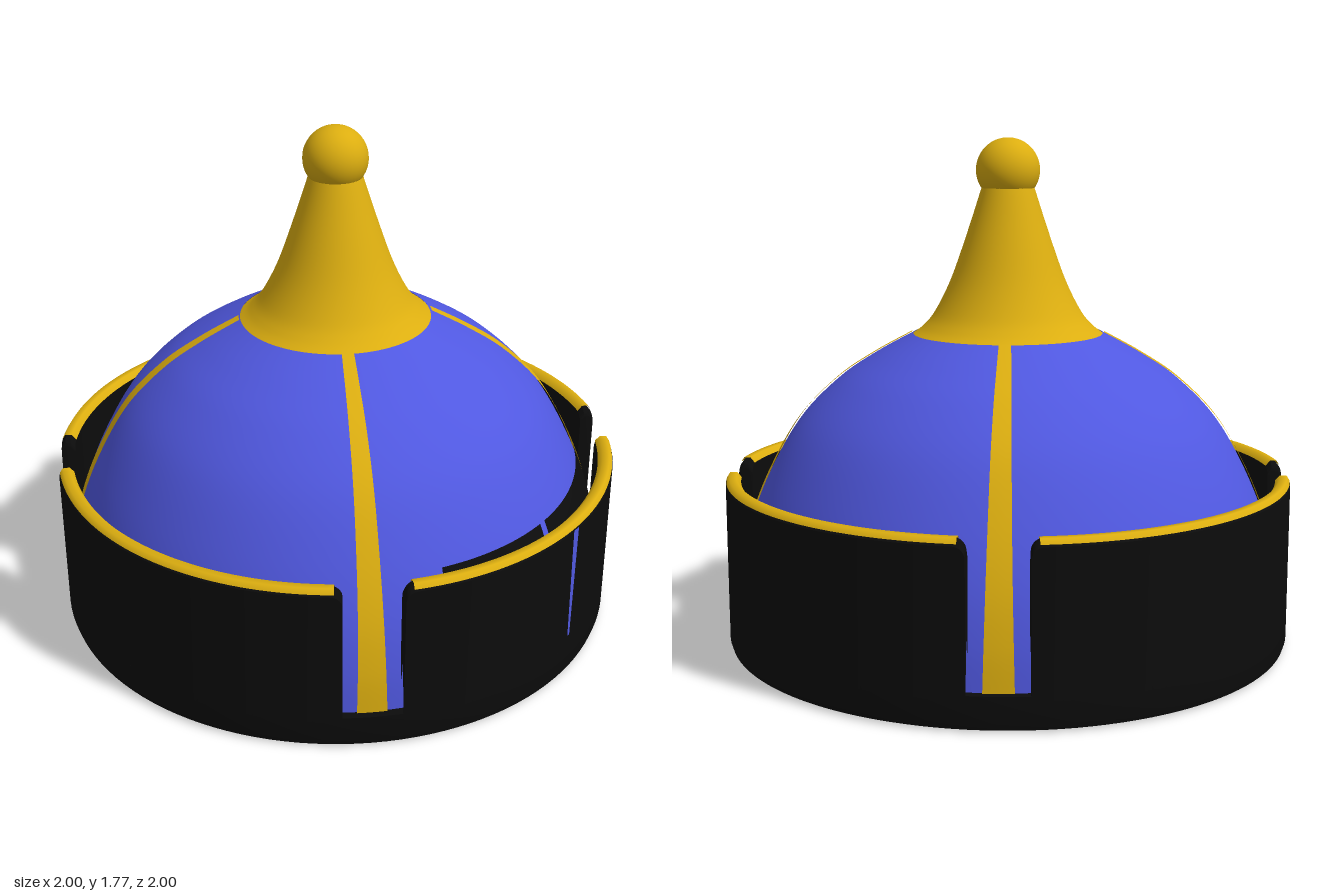
import * as THREE from 'three';
import { toCreasedNormals } from 'three/addons/utils/BufferGeometryUtils.js';

const rad = THREE.MathUtils.degToRad;
const V2 = (p) => new THREE.Vector2(p[0], p[1]);
const spline = (pts, n) => new THREE.SplineCurve(pts.map(V2)).getPoints(n);

// Grid surface; fn(i, j) gives [angle, radius, height], angle 0 facing +z
function surface(cols, rows, fn) {
  const pos = [], index = [];
  for (let i = 0; i <= cols; i++) for (let j = 0; j <= rows; j++) {
    const [a, r, y] = fn(i, j);
    pos.push(r * Math.sin(a), y, r * Math.cos(a));
    if (i < cols && j < rows) {
      const k = i * (rows + 1) + j, m = k + rows + 1;
      index.push(k, m, m + 1, k, m + 1, k + 1);
    }
  }
  const g = new THREE.BufferGeometry();
  g.setAttribute('position', new THREE.Float32BufferAttribute(pos, 3));
  g.setIndex(index);
  g.computeVertexNormals();
  return g;
}

export function createModel() {
  const group = new THREE.Group();
  const mat = (name, color, side = THREE.FrontSide) =>
    new THREE.MeshStandardMaterial({ name, color, side });
  const blue = mat('blue cloth', 0x5058e0, THREE.DoubleSide);
  const gold = mat('gold', 0xdcae10, THREE.DoubleSide);
  const black = mat('black felt', 0x0c0c0c, THREE.DoubleSide);
  const add = (name, geo, material, parent = group) => {
    const m = new THREE.Mesh(geo, material);
    m.name = name;
    parent.add(m);
    return m;
  };

  // Domed crown
  const dome = spline([[0.972, 0.1], [0.958, 0.25], [0.92, 0.42], [0.848, 0.6], [0.74, 0.786],
    [0.604, 0.925], [0.47, 1.016], [0.335, 1.09]], 48);
  add('crown', new THREE.LatheGeometry(dome, 96), blue);

  // Flared spire and ball finial
  const spire = spline([[0.338, 1.086], [0.3, 1.115], [0.257, 1.168], [0.2, 1.283],
    [0.139, 1.455], [0.092, 1.6], [0.08, 1.63]], 32);
  add('spire', new THREE.LatheGeometry(spire, 64), gold);
  add('finial', new THREE.SphereGeometry(0.112, 32, 24), gold).position.y = 1.66;

  // Inside lining
  const lining = spline([[0.93, 0.05], [0.91, 0.3], [0.82, 0.55], [0.68, 0.76],
    [0.45, 0.95], [0.22, 1.06], [0, 1.1]], 32).reverse();
  add('lining', new THREE.LatheGeometry(lining, 64), black);

  // Lower ring of the brim
  const ring = [[0.93, 0.06], [0.935, 0.015], [0.95, 0], [0.975, 0], [0.993, 0.008], [1, 0.03],
    [1, 0.117], [0.95, 0.117], [0.93, 0.06]].map(V2);
  add('brimRing', toCreasedNormals(new THREE.LatheGeometry(ring, 128), 0.7), black);

  // Upturned brim flap with rounded upper corners, closed at both ends
  const half = rad(39.3), corner = 0.04, n = 80;
  const flapGeo = toCreasedNormals(surface(n + 2, 5, (i, j) => {
    // columns bunch together towards the ends
    const t = THREE.MathUtils.clamp((i - 1) / n, 0, 1);
    const a = -half * Math.cos(Math.PI * t);
    if (i === 0 || i === n + 2) return [a, 0.975, 0.3];
    const d = Math.min(corner, half - Math.abs(a));
    const h = 0.6 - corner + Math.sqrt(Math.max(0, corner ** 2 - (corner - d) ** 2));
    return [a, ...[[1, 0.1], [1, h - 0.02], [0.985, h], [0.965, h], [0.95, h - 0.02], [0.95, 0.1]][j]];
  }), 0.6);

  // Gold piping over the flap's upper edge
  const pipe = [[0.998, 0.587], [0.987, 0.604], [0.963, 0.604], [0.947, 0.585]];
  const pipeGeo = surface(60, 3, (i, j) => [rad(37.8) * (i / 30 - 1), ...pipe[j]]);

  // Tapering stripe running down the crown
  const stripeGeo = surface(4, 48, (i, j) => {
    const { x, y } = dome[j];
    const w = THREE.MathUtils.lerp(0.05, 0.02, j / 48);
    return [Math.asin(w / x) * (i / 2 - 1), x + 0.005, y + 0.004];
  });

  for (let k = 0; k < 4; k++) {
    const quarter = new THREE.Group();
    quarter.name = 'quarter' + (k + 1);
    quarter.rotation.y = k * Math.PI / 2;
    add('brimFlap', flapGeo, black, quarter);
    add('flapPiping', pipeGeo, gold, quarter);
    add('crownStripe', stripeGeo, gold, quarter).rotation.y = Math.PI / 4;
    group.add(quarter);
  }

  // Dark patches on the crown behind the flaps
  const patch = (name, from, to, rows, material, lift) =>
    add(name, surface(24, rows, (i, j) =>
      [rad(from + (to - from) * i / 24), dome[j].x + lift, dome[j].y + lift / 2]), material);
  patch('leftDarkPatch', 61, 129, 19, black, 0.003);
  patch('backDarkPatch', 145, 151.5, 17, black, 0.003);
  patch('innerSeam', 89.6, 91.4, 20, blue, 0.006);

  // Narrow blue seam on the left flap
  add('outerSeam', surface(2, 1, (i, j) =>
    [rad(90.5 + (i - 1) * (j ? 0.9 : 0.35)), 1.002, j ? 0.585 : 0.16]), blue);

  return group;
}
